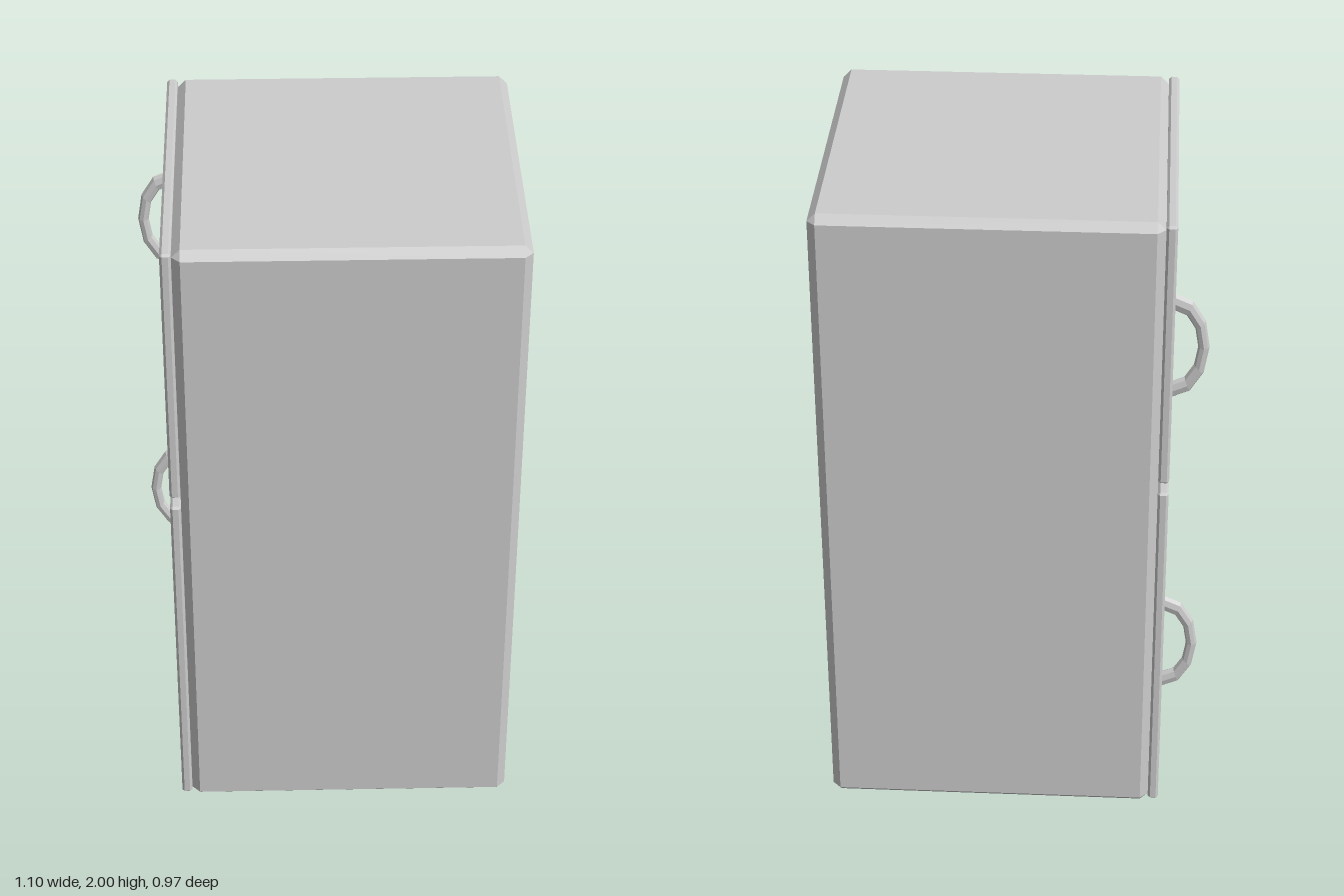
import * as THREE from 'three';
import { ConvexGeometry } from 'three/addons/geometries/ConvexGeometry.js';

const material = new THREE.MeshStandardMaterial({ color: 0xcccccc, flatShading: true });

// Box between two corners with every edge chamfered by c
function chamferBox(name, min, max, c) {
  const half = max.map((v, i) => (v - min[i]) / 2);
  const points = [];
  for (const sx of [-1, 1]) for (const sy of [-1, 1]) for (const sz of [-1, 1]) {
    const signs = [sx, sy, sz];
    for (let face = 0; face < 3; face++) {
      points.push(new THREE.Vector3(...signs.map((s, i) => s * (half[i] - (i === face ? 0 : c)))));
    }
  }
  const mesh = new THREE.Mesh(new ConvexGeometry(points), material);
  mesh.position.set(...min.map((v, i) => (v + max[i]) / 2));
  mesh.name = name;
  return mesh;
}

// Half-ring handle, stretched vertically, bulging towards -x
function handle(name, y) {
  const geometry = new THREE.TorusGeometry(0.085, 0.016, 8, 6, Math.PI);
  geometry.rotateZ(Math.PI / 2);
  geometry.scale(1, 1.65, 1);
  const mesh = new THREE.Mesh(geometry, material);
  mesh.position.set(-0.449, y, -0.383);
  mesh.name = name;
  return mesh;
}

export function createModel() {
  const fridge = new THREE.Group();
  fridge.name = 'refrigerator';

  // Cabinet
  fridge.add(chamferBox('cabinet', [-0.419, 0, -0.484], [0.55, 2, 0.484], 0.024));

  // Doors on the -x side, each with its handle
  const doors = [
    ['lower', 0.016, 1.14, 0.549],
    ['upper', 1.172, 1.995, 1.573],
  ];
  for (const [name, bottom, top, handleY] of doors) {
    fridge.add(chamferBox(name + 'Door', [-0.45, bottom, -0.478], [-0.419, top, 0.478], 0.007));
    fridge.add(handle(name + 'Handle', handleY));
  }
  return fridge;
}
